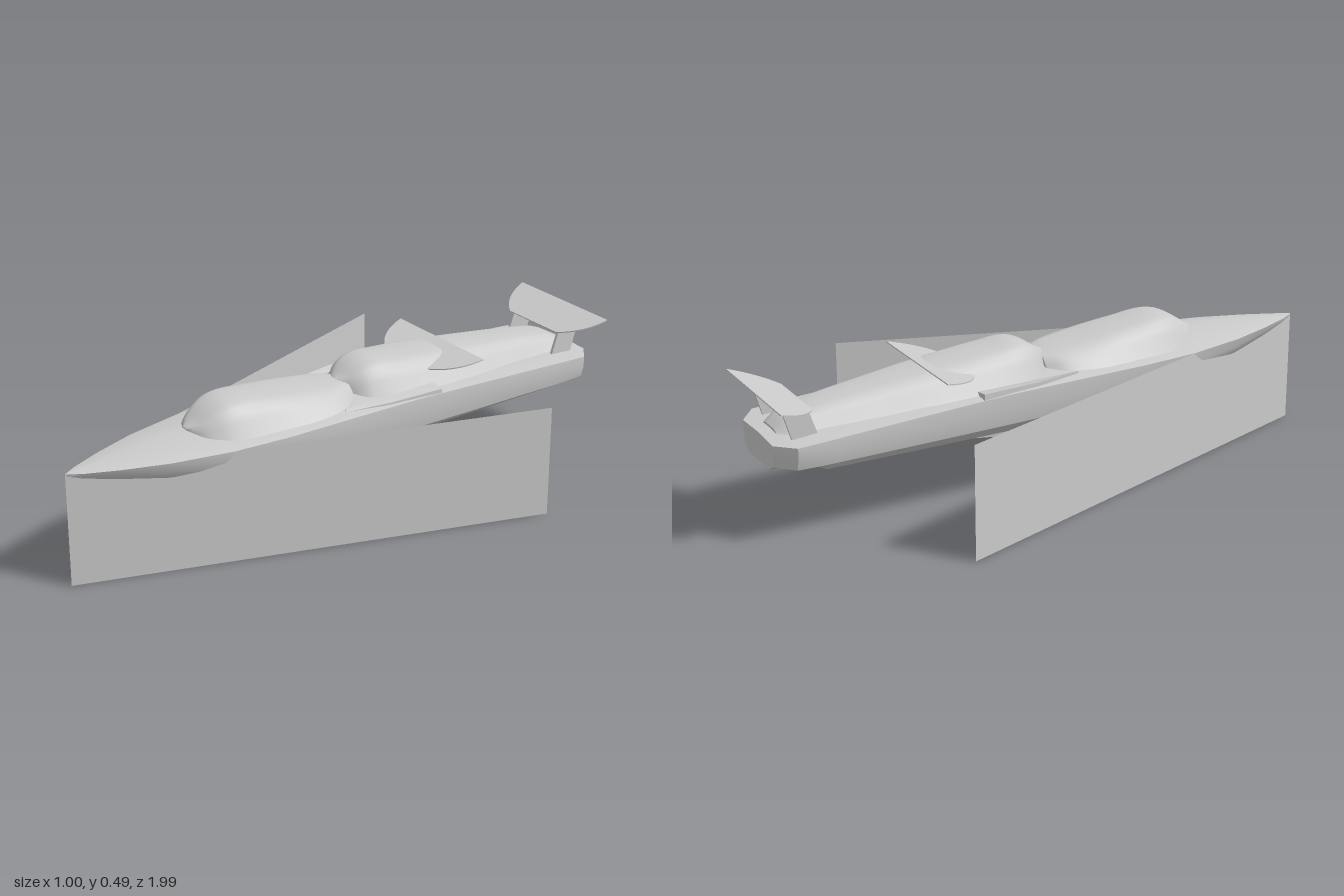
import * as THREE from 'three';
import { toCreasedNormals } from 'three/addons/utils/BufferGeometryUtils.js';

const grey = new THREE.MeshStandardMaterial({ color: 0xcccccc });
const greySheet = new THREE.MeshStandardMaterial({ color: 0xcccccc, side: THREE.DoubleSide });

function add(parent, name, geometry, material = grey) {
  const mesh = new THREE.Mesh(geometry, material);
  mesh.name = name;
  parent.add(mesh);
  return mesh;
}

// Skin closed rings [[x, y, z], ...], anticlockwise seen from the front, running front to back
function loft(rings, crease = 0.6) {
  const n = rings[0].length;
  const last = (rings.length - 1) * n;
  const index = [];
  for (let i = 0; i < rings.length - 1; i++) {
    for (let j = 0; j < n; j++) {
      const a = i * n + j, b = i * n + (j + 1) % n;
      index.push(a, a + n, b, a + n, b + n, b);
    }
  }
  for (let j = 1; j < n - 1; j++) {
    index.push(0, j, j + 1, last, last + j + 1, last + j);
  }
  const geometry = new THREE.BufferGeometry();
  geometry.setAttribute('position', new THREE.Float32BufferAttribute(rings.flat(2), 3));
  geometry.setIndex(index);
  return toCreasedNormals(geometry, crease);
}

// Mirror a half outline (bottom centre, right side, top centre) into a full ring
function mirrorRing(half, z) {
  const left = half.slice(1, -1).reverse().map(([x, y]) => [-x, y]);
  return [...half, ...left].map(([x, y]) => [x, y, z]);
}

// Resample station rows smoothly along z
function smoothRows(rows, steps) {
  const size = rows[0].length;
  const curve = new THREE.CubicInterpolant(rows.map((r) => -r[0]), rows.flat(), size, new Array(size));
  const start = -rows[0][0], end = -rows[rows.length - 1][0];
  return Array.from({ length: steps + 1 }, (_, i) => [...curve.evaluate(start + (end - start) * i / steps)]);
}

// Hull stations: z, deck half width, ridge y, deck edge y, chine half width, chine y, pad half width, keel y
function hullGeometry() {
  const rows = [
    [1, 0.001, 0.384, 0.382, 0.001, 0.377, 0.0005, 0.375],
    [0.95, 0.03, 0.387, 0.382, 0.02, 0.364, 0.005, 0.35],
    [0.85, 0.073, 0.397, 0.382, 0.053, 0.345, 0.015, 0.315],
    [0.7, 0.125, 0.41, 0.382, 0.102, 0.325, 0.035, 0.275],
    [0.5, 0.168, 0.421, 0.382, 0.148, 0.303, 0.06, 0.242],
    [0.3, 0.185, 0.42, 0.382, 0.17, 0.288, 0.08, 0.222],
    [0.1, 0.189, 0.418, 0.382, 0.178, 0.278, 0.09, 0.21],
    [-0.2, 0.189, 0.405, 0.378, 0.18, 0.273, 0.09, 0.21],
    [-0.5, 0.189, 0.385, 0.365, 0.18, 0.27, 0.09, 0.21],
    [-0.8, 0.188, 0.362, 0.35, 0.18, 0.268, 0.09, 0.212],
    [-0.85, 0.187, 0.358, 0.347, 0.178, 0.267, 0.09, 0.238],
    [-0.93, 0.184, 0.35, 0.342, 0.172, 0.266, 0.09, 0.244],
    [-0.985, 0.12, 0.343, 0.338, 0.11, 0.265, 0.08, 0.246],
  ];
  return loft(rows.map(([z, w, ridge, deck, cw, chine, pw, keel]) => mirrorRing([
    [0, keel], [pw, keel], [cw, chine], [w * 0.5 + cw * 0.5 + w * 0.03, deck * 0.5 + chine * 0.5],
    [w, deck], [0, ridge],
  ], z)), 0.5);
}

// Canopy stations: z, half width, base y, top y
function canopyGeometry(rows) {
  const outline = [[1, 0], [0.9, 0.2], [0.76, 0.55], [0.67, 0.73], [0.56, 0.88], [0.47, 0.95], [0.36, 0.985]];
  return loft(smoothRows(rows, 48).map(([z, w, base, top]) => mirrorRing([
    [0, base - 0.005],
    ...outline.map(([u, v]) => [w * u, base + (top - base) * v]),
    [0, top],
  ], z)), 0.7);
}

// Thin swept wing, narrow at the leading edge, rising toward the rear
function wingGeometry(tilt) {
  const shape = new THREE.Shape();
  shape.moveTo(-0.12, 0);
  shape.lineTo(0.12, 0);
  shape.quadraticCurveTo(0.205, 0.05, 0.22, 0.148);
  shape.lineTo(-0.22, 0.148);
  shape.quadraticCurveTo(-0.205, 0.05, -0.12, 0);
  const geometry = new THREE.ExtrudeGeometry(shape, { depth: 0.004, bevelEnabled: false, curveSegments: 12 });
  return geometry.rotateX(-Math.PI / 2 + tilt);
}

export function createModel() {
  const boat = new THREE.Group();
  boat.name = 'speedboat';

  add(boat, 'hull', hullGeometry());

  add(boat, 'frontCanopy', canopyGeometry([
    [0.575, 0.02, 0.38, 0.421], [0.55, 0.075, 0.38, 0.434], [0.5, 0.117, 0.38, 0.468],
    [0.45, 0.136, 0.38, 0.487], [0.3, 0.154, 0.38, 0.477], [0.1, 0.16, 0.378, 0.45],
    [0.03, 0.14, 0.376, 0.442], [-0.02, 0.1, 0.374, 0.434],
  ]));
  add(boat, 'rearCanopy', canopyGeometry([
    [0.005, 0.03, 0.375, 0.435], [-0.02, 0.08, 0.375, 0.447], [-0.05, 0.118, 0.374, 0.468],
    [-0.1, 0.138, 0.374, 0.487], [-0.2, 0.153, 0.372, 0.48], [-0.4, 0.153, 0.366, 0.46],
    [-0.6, 0.133, 0.356, 0.437], [-0.83, 0.108, 0.344, 0.405], [-0.9, 0.1, 0.34, 0.388],
    [-0.945, 0.07, 0.336, 0.355],
  ]));

  // Wings
  add(boat, 'middleWing', wingGeometry(0.22)).position.set(0, 0.432, -0.3);
  add(boat, 'rearWing', wingGeometry(0.3)).position.set(0, 0.428, -0.853);

  for (const side of [1, -1]) {
    const label = side > 0 ? 'left' : 'right';

    // Strut leaning back up to the rear wing
    const strut = new THREE.Shape([[0.835, 0.342], [0.92, 0.338], [0.955, 0.455], [0.865, 0.43]]
      .map(([x, y]) => new THREE.Vector2(x, y)));
    const strutGeometry = new THREE.ExtrudeGeometry(strut, { depth: 0.01, bevelEnabled: false });
    strutGeometry.rotateY(Math.PI / 2);
    add(boat, label + 'WingStrut', strutGeometry).position.x = side * 0.115 - 0.005;

    // Wedge fairing along the deck edge
    const wedge = [[0.06, 0.14, 0.15], [-0.1, 0.14, 0.176], [-0.3, 0.14, 0.187]].map(([z, inner, outer]) => {
      const [x0, x1] = side > 0 ? [inner, outer] : [-outer, -inner];
      return [[x0, 0.365, z], [x1, 0.365, z], [x1, 0.389, z], [x0, 0.395, z]];
    });
    add(boat, label + 'DeckFairing', loft(wedge, 0.4));

    // Flat upright sheet spreading back from the bow
    const sheet = new THREE.PlaneGeometry(Math.hypot(0.5, 1.5), 0.382);
    sheet.rotateY(Math.atan2(1.5, side * 0.5));
    add(boat, label + 'BowSheet', sheet, greySheet).position.set(side * 0.25, 0.191, 0.25);
  }
  return boat;
}
